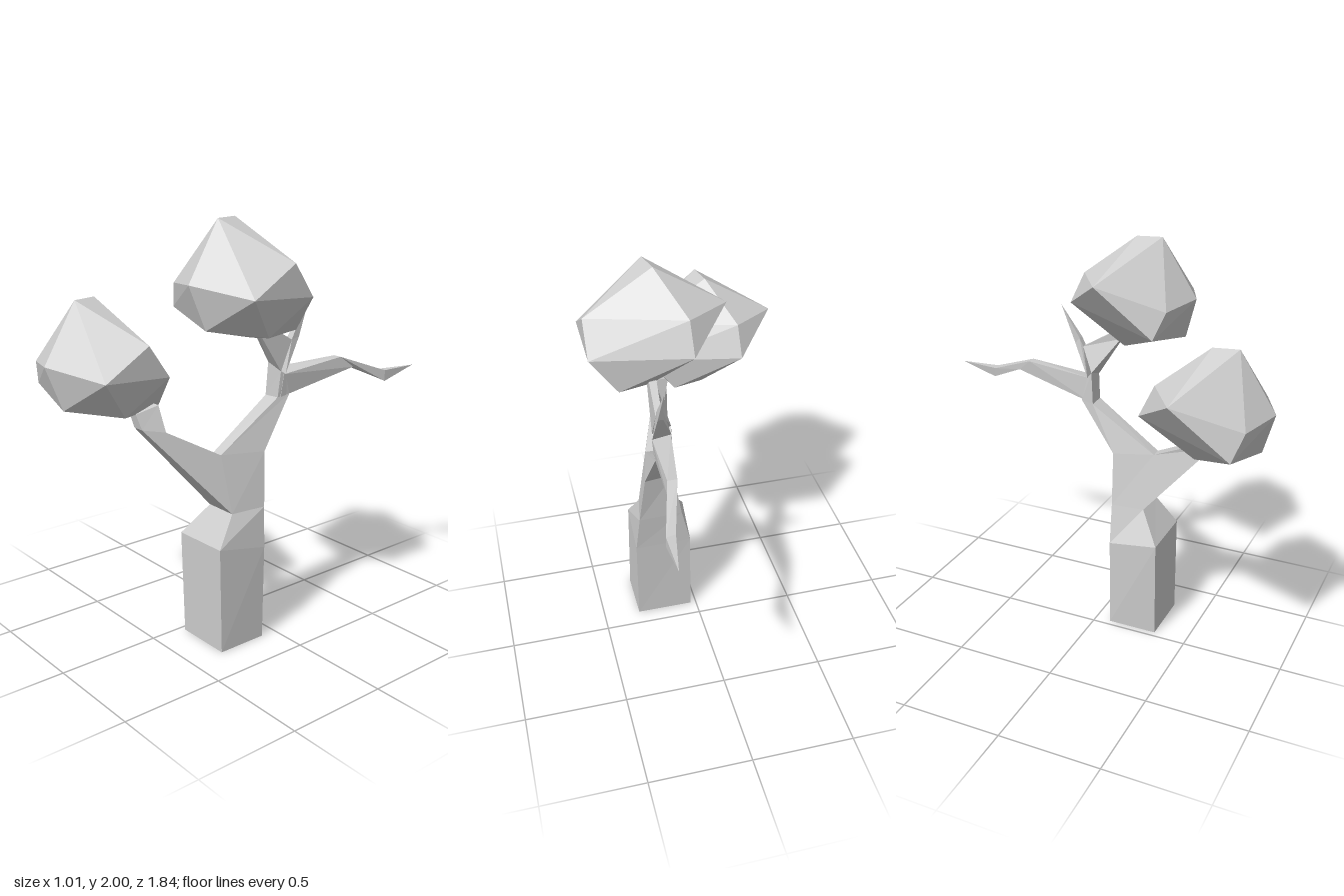
import * as THREE from 'three';
import { ConvexGeometry } from 'three/addons/geometries/ConvexGeometry.js';

const material = new THREE.MeshStandardMaterial({ color: 0xcccccc, flatShading: true });

// Skin a run of four-cornered cross-sections, capped at both ends.
// Corners run counter-clockwise as seen from the far end.
function loft(name, rings) {
  const pos = [];
  const quad = (a, b, c, d) => pos.push(...a, ...b, ...c, ...a, ...c, ...d);
  for (let i = 0; i < rings.length - 1; i++) {
    for (let k = 0; k < 4; k++) {
      const n = (k + 1) % 4;
      quad(rings[i][k], rings[i][n], rings[i + 1][n], rings[i + 1][k]);
    }
  }
  const [a, b, c, d] = rings[0];
  quad(d, c, b, a);
  quad(...rings[rings.length - 1]);
  const geometry = new THREE.BufferGeometry();
  geometry.setAttribute('position', new THREE.Float32BufferAttribute(pos, 3));
  geometry.computeVertexNormals();
  const mesh = new THREE.Mesh(geometry, material);
  mesh.name = name;
  return mesh;
}

// A cross-section shrunk to a point
const tip = (x, y, z) => Array.from({ length: 4 }, () => [x, y, z]);

export function createModel() {
  const tree = new THREE.Group();
  tree.name = 'tree';

  // Sections shared by neighbouring parts
  const ledge = [[0.1, 0.655, 0.225], [0.265, 0.655, 0.225]];
  const crotch = [[0.16, 0.935, 0.25], [0.215, 0.935, 0.25]];
  const joint = [[0.15, 1.15, -0.075], [0.235, 1.155, -0.075], [0.245, 1.165, -0.14], [0.16, 1.16, -0.14]];
  const fork = [[0.155, 1.31, -0.085], [0.245, 1.28, -0.085], [0.25, 1.265, -0.11], [0.16, 1.28, -0.11]];
  const forkTop = [[0.24, 1.42, -0.155], [0.21, 1.42, -0.155]];

  // Trunk and the limb leaning back from it
  tree.add(loft('trunk', [
    [[0.03, 0, 0.33], [0.315, 0, 0.33], [0.315, 0, 0.08], [0.03, 0, 0.08]],
    [[0.01, 0.51, 0.33], [0.305, 0.515, 0.33], [0.315, 0.465, 0.07], [0.03, 0.465, 0.075]],
    [...ledge, [0.295, 0.66, 0.055], [0.075, 0.66, 0.065]],
    [...crotch, [0.265, 0.92, 0.03], [0.12, 0.92, 0.05]],
    joint,
    fork,
  ]));

  // Limb reaching forward to the lower crown
  tree.add(loft('frontLimb', [
    [...ledge, crotch[1], crotch[0]],
    [[0.025, 1.09, 0.59], [0.085, 1.09, 0.59], [0.125, 1.07, 0.49], [0.06, 1.07, 0.49]],
    [[0.01, 1.16, 0.605], [0.06, 1.16, 0.605], [0.085, 1.19, 0.5], [0.035, 1.19, 0.5]],
  ]));

  // Limb holding the upper crown
  tree.add(loft('upperLimb', [
    [fork[0], fork[1], ...forkTop],
    [[0.2, 1.49, 0.05], [0.235, 1.49, 0.05], [0.235, 1.51, -0.005], [0.2, 1.51, -0.005]],
  ]));

  // Bare spike behind the upper crown
  tree.add(loft('spike', [
    [forkTop[1], forkTop[0], fork[2], fork[3]],
    [[0.21, 1.46, -0.175], [0.24, 1.46, -0.175], [0.24, 1.43, -0.2], [0.215, 1.43, -0.2]],
    tip(0.225, 1.615, -0.28),
  ]));

  // Long bare branch pointing backwards
  tree.add(loft('backBranch', [
    [[0.24, 1.155, -0.09], [0.155, 1.155, -0.09], [0.16, 1.28, -0.1], [0.25, 1.265, -0.1]],
    [[0.27, 1.235, -0.54], [0.235, 1.235, -0.53], [0.215, 1.295, -0.46], [0.26, 1.295, -0.46]],
    [[0.325, 1.145, -0.71], [0.29, 1.15, -0.71], [0.28, 1.2, -0.7], [0.325, 1.2, -0.71]],
    tip(0.32, 1.195, -0.92),
  ]));

  // Two faceted crowns of the same shape
  const crownPoints = [
    [0.175, 2, 0.135], [0.2, 2, 0.25],
    [-0.14, 1.83, 0.06], [0.06, 1.835, -0.075], [0.505, 1.825, 0.075],
    [0.21, 1.73, 0.42], [0.01, 1.71, 0.35], [0.505, 1.69, 0.3],
    [0.505, 1.67, -0.03], [0.055, 1.685, -0.145],
    [-0.05, 1.59, 0.31], [0.25, 1.53, 0.36], [0.44, 1.505, 0.165],
    [0.38, 1.505, -0.05], [0.21, 1.455, 0.065],
  ].map((p) => new THREE.Vector3(...p));
  const crown = new ConvexGeometry(crownPoints);
  const places = { upperCrown: [0, 0, 0], lowerCrown: [-0.367, -0.347, 0.503] };
  for (const [name, place] of Object.entries(places)) {
    const mesh = new THREE.Mesh(crown, material);
    mesh.name = name;
    mesh.position.set(...place);
    tree.add(mesh);
  }
  return tree;
}
